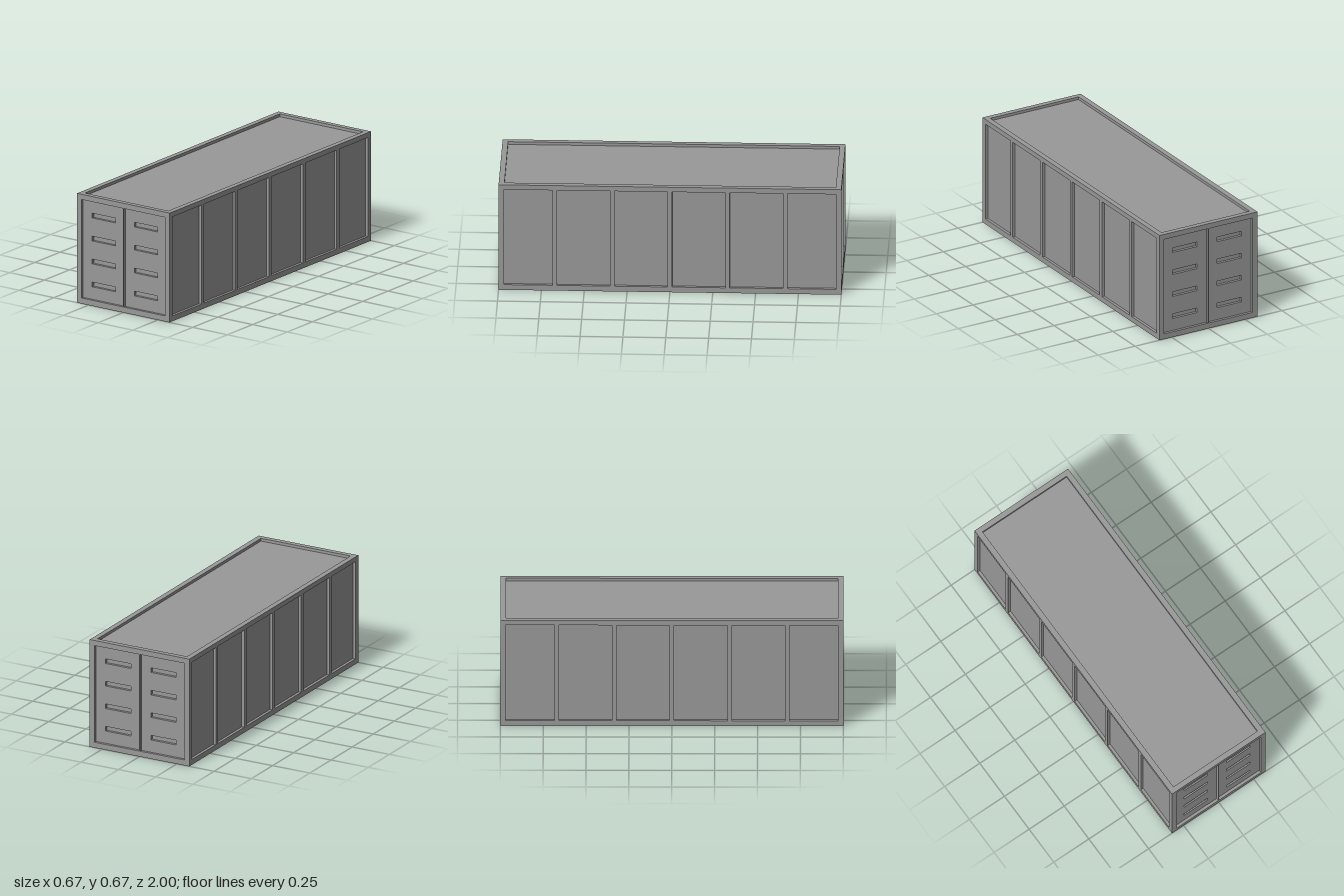
import * as THREE from 'three';
import { mergeGeometries } from 'three/addons/utils/BufferGeometryUtils.js';

const W = 0.667, H = 0.667, L = 2, DEPTH = 0.017;

// Rectangles are [x0, y0, x1, y1]
function corners([x0, y0, x1, y1]) {
  return [[x0, y0], [x1, y0], [x1, y1], [x0, y1]].map(([x, y]) => new THREE.Vector2(x, y));
}

// Flat sheet at height z, with rectangular openings
function sheet(rect, holes, z) {
  const shape = new THREE.Shape(corners(rect));
  for (const h of holes) shape.holes.push(new THREE.Path(corners(h).reverse()));
  return new THREE.ShapeGeometry(shape).translate(0, 0, z);
}

// Four inward-facing walls of a recess from height z down to z - DEPTH
function rim(rect, z) {
  const c = corners(rect);
  const walls = c.map((a, i) => {
    const b = c[(i + 1) % 4];
    return new THREE.PlaneGeometry(a.distanceTo(b), DEPTH)
      .rotateX(-Math.PI / 2)
      .rotateZ(Math.atan2(b.y - a.y, b.x - a.x))
      .translate((a.x + b.x) / 2, (a.y + b.y) / 2, z - DEPTH / 2);
  });
  return mergeGeometries(walls);
}

export function createModel() {
  const model = new THREE.Group();
  model.name = 'cargoContainer';
  const grey = new THREE.MeshStandardMaterial({ color: 0x999999, side: THREE.DoubleSide });
  grey.name = 'grey steel';

  function add(group, name, geometry) {
    const mesh = new THREE.Mesh(geometry, grey);
    mesh.name = name;
    group.add(mesh);
  }

  // One face of the container: frame, sunken panels, and slots sunk into the panels
  function face(name, rect, panels, panelName) {
    const group = new THREE.Group();
    group.name = name;
    add(group, name + 'Frame', sheet(rect, panels.map(p => p.rect), 0));
    for (const { rect: r, slots = [] } of panels) {
      add(group, panelName, mergeGeometries([rim(r, 0), sheet(r, slots, -DEPTH)]));
      for (const s of slots) {
        add(group, 'slot', mergeGeometries([rim(s, -DEPTH), sheet(s, [], -2 * DEPTH)]));
      }
    }
    model.add(group);
    return group;
  }

  // Ends: two doors with four slots each
  const slotRows = [0.11, 0.25, 0.39, 0.53];
  const doors = [
    { rect: [-0.301, 0.034, -0.0025, 0.635], slots: slotRows.map(y => [-0.236, y, -0.067, y + 0.029]) },
    { rect: [0.0025, 0.034, 0.301, 0.635], slots: slotRows.map(y => [0.067, y, 0.236, y + 0.029]) },
  ];
  for (const [name, turn] of [['frontEnd', 0], ['backEnd', Math.PI]]) {
    const end = face(name, [-W / 2, 0, W / 2, H], doors, 'door');
    end.rotation.y = turn;
    end.position.z = Math.cos(turn) * L / 2;
  }

  // Long sides: six sunken panels between ribs
  const ribs = [-0.982, -0.672, -0.336, 0, 0.336, 0.672, 0.982];
  const sidePanels = ribs.slice(0, -1).map((z, i) => ({
    rect: [z + 0.013, 0.033, ribs[i + 1] - 0.013, 0.637],
  }));
  for (const [name, s] of [['leftSide', 1], ['rightSide', -1]]) {
    const side = face(name, [-L / 2, 0, L / 2, H], sidePanels, 'sidePanel');
    side.rotation.y = s * Math.PI / 2;
    side.position.x = s * W / 2;
  }

  // Roof: one sunken panel; the underside stays open
  const roof = face('roof', [-W / 2, -L / 2, W / 2, L / 2], [{ rect: [-0.3, -0.967, 0.3, 0.967] }], 'roofPanel');
  roof.rotation.x = -Math.PI / 2;
  roof.position.y = H;

  return model;
}
